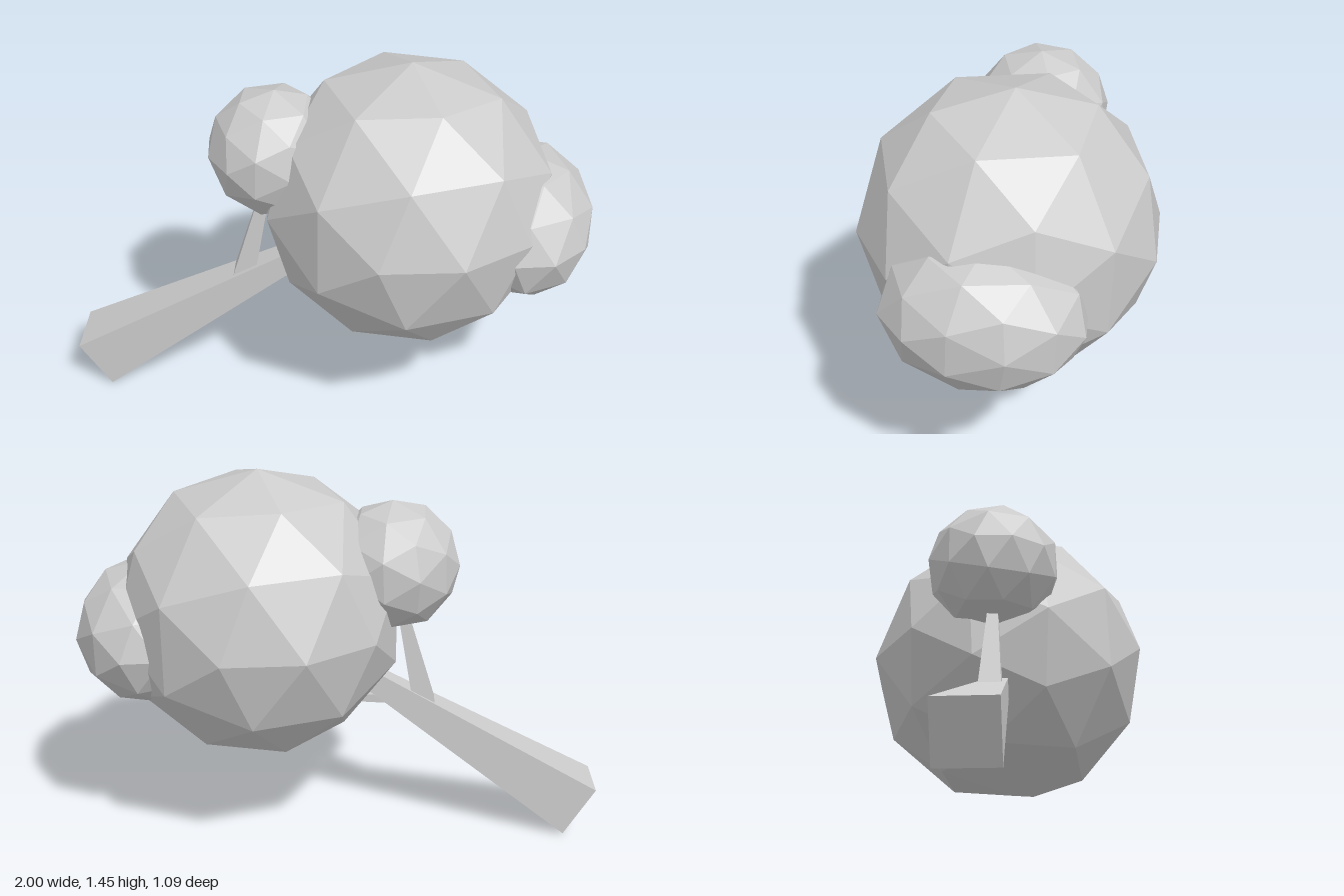
import * as THREE from 'three';

const material = new THREE.MeshStandardMaterial({ color: 0xcccccc, flatShading: true });

// Faceted foliage ball whose three-fold axis runs along x, scaled to an ellipsoid
function foliage(name, center, radii, roll, yaw = 0) {
  const geo = new THREE.IcosahedronGeometry(1, 1);
  const t = (1 + Math.sqrt(5)) / 2;
  const x = new THREE.Vector3(1, 1, 1).normalize();
  const z = new THREE.Vector3(1, -t, 0);
  z.addScaledVector(x, -z.dot(x)).normalize();
  const y = new THREE.Vector3().crossVectors(z, x);
  geo.applyMatrix4(new THREE.Matrix4().makeBasis(x, y, z).transpose());
  geo.rotateX(roll).rotateY(yaw);
  geo.scale(...radii);
  geo.computeVertexNormals();
  const mesh = new THREE.Mesh(geo, material);
  mesh.name = name;
  mesh.position.set(...center);
  return mesh;
}

// Square tapered limb between two points, w0 and w1 being the end widths
function limb(name, from, to, w0, w1) {
  const a = new THREE.Vector3(...from);
  const b = new THREE.Vector3(...to);
  const dir = b.clone().sub(a);
  const geo = new THREE.CylinderGeometry(w1 * Math.SQRT1_2, w0 * Math.SQRT1_2, dir.length(), 4);
  geo.rotateY(Math.PI / 4);
  const mesh = new THREE.Mesh(geo, material);
  mesh.name = name;
  mesh.position.copy(a).add(b).multiplyScalar(0.5);
  // Limbs lean almost only in the xy plane, so one sides pair stays facing z
  mesh.quaternion.setFromUnitVectors(new THREE.Vector3(0, 1, 0), dir.normalize());
  return mesh;
}

export function createModel() {
  const tree = new THREE.Group();
  tree.name = 'leaningTree';

  // Leaning trunk and its two branches
  tree.add(
    limb('trunk', [-0.94, 0.1, -0.025], [-0.06, 0.652, 0], 0.224, 0.068),
    limb('upperBranch', [-0.325, 0.51, -0.01], [-0.22, 0.95, -0.01], 0.085, 0.03),
    limb('lowerBranch', [-0.25, 0.53, -0.005], [0.1, 0.538, 0], 0.035, 0.025),
  );

  // Main crown and the two smaller leaf clumps
  tree.add(
    foliage('mainCrown', [0.31, 0.895, 0], [0.555, 0.555, 0.555], -0.04),
    foliage('rightClump', [0.745, 0.82, 0], [0.272, 0.275, 0.37], -0.04),
    foliage('leftClump', [-0.2, 1.085, -0.012], [0.247, 0.247, 0.258], 0.04, Math.PI / 2),
  );
  return tree;
}
